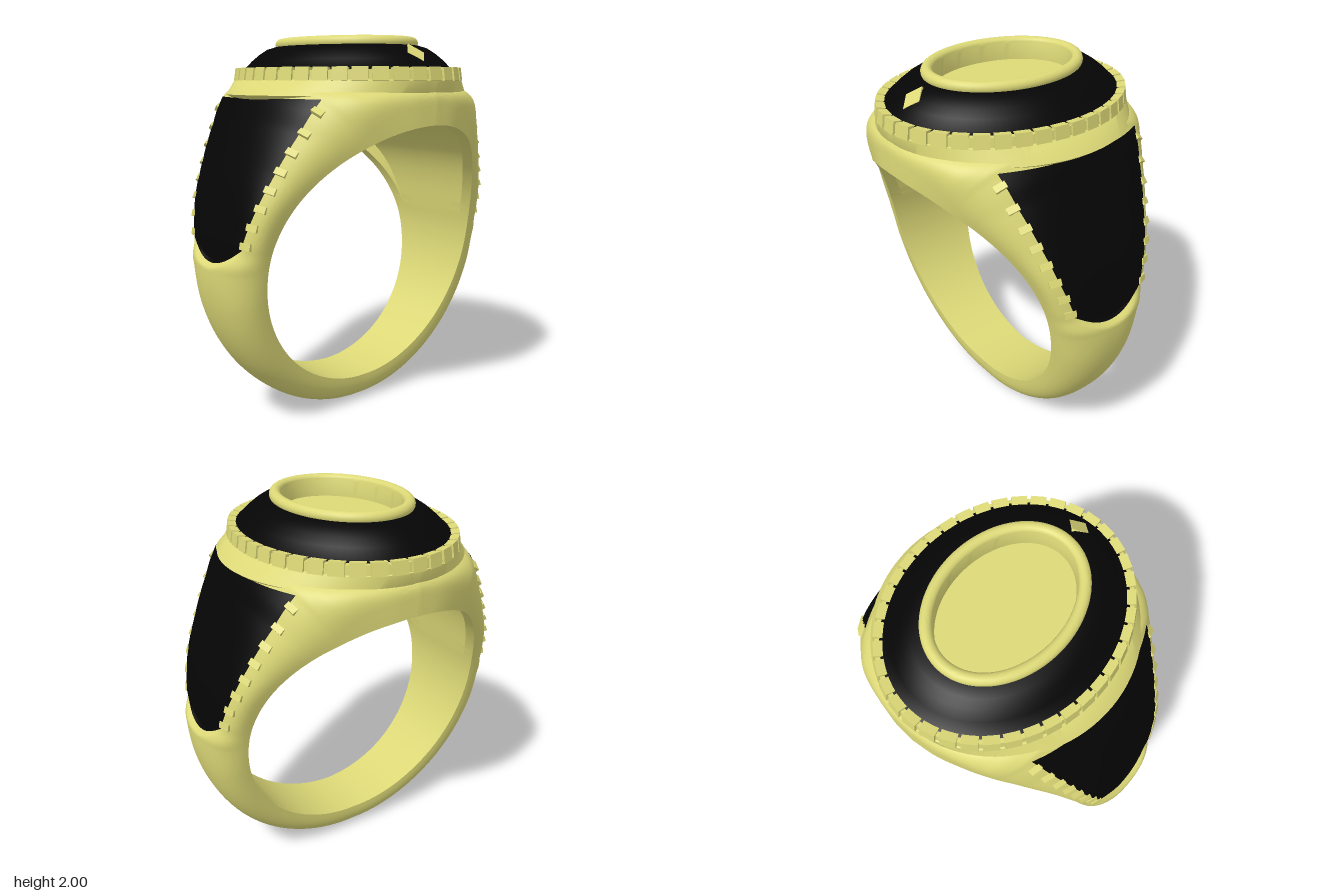
import * as THREE from 'three';
import { toCreasedNormals } from 'three/addons/utils/BufferGeometryUtils.js';

const CY = 0.86, RIN = 0.71, DEG = Math.PI / 180;
const { lerp, smoothstep, clamp } = THREE.MathUtils;

// Smooth curve through [x, value] pairs
function curve(t) {
  const slope = i => {
    const a = t[Math.max(i - 1, 0)], b = t[Math.min(i + 1, t.length - 1)];
    return (b[1] - a[1]) / (b[0] - a[0]);
  };
  return x => {
    let i = 0;
    while (i < t.length - 2 && x > t[i + 1][0]) i++;
    const d = t[i + 1][0] - t[i][0], k = (x - t[i][0]) / d, k2 = k * k, k3 = k2 * k;
    return (2 * k3 - 3 * k2 + 1) * t[i][1] + (k3 - 2 * k2 + k) * d * slope(i)
      + (3 * k2 - 2 * k3) * t[i + 1][1] + (k3 - k2) * d * slope(i + 1);
  };
}

// Ring section by elevation in degrees: outer radius, half width, squareness
const radiusCurve = curve([[-90, 0.86], [-45, 0.872], [-10, 0.884], [0, 0.888], [3, 0.886], [9, 0.85],
  [23, 0.86], [36, 0.9], [48, 0.968], [54, 1.016], [60, 1.045], [90, 1.1]]);
const halfWidth = curve([[-90, 0.165], [-60, 0.18], [-40, 0.2], [-20, 0.23], [0, 0.272], [10, 0.3], [20, 0.34],
  [30, 0.39], [40, 0.45], [50, 0.515], [60, 0.58], [70, 0.63], [80, 0.667], [90, 0.68]]);
const power = curve([[-90, 2.7], [-12, 2.4], [0, 2.3], [6, 2.8], [12, 3.6], [22, 3.8], [36, 2.8], [58, 2.6],
  [65, 4.2], [73, 6], [90, 8]]);
const panelHalf = curve([[0, 0.217], [9, 0.22], [24, 0.287], [38, 0.343], [60, 0.437]]);
const elevation = a => Math.asin(clamp(Math.sin(a), -1, 1)) / DEG;
const polar = (a, r, z) => [r * Math.cos(a), CY + r * Math.sin(a), z];

// Lower edge of the shoulder pocket, and outer radius with that pocket sunk in
const lipAngle = z => 2.7 + 6.5 * (z / 0.222) ** 2;
function outerRadius(e, z) {
  const r = e > 30 ? Math.min(radiusCurve(e), 0.9 / Math.sin(e * DEG)) : radiusCurve(e);
  if (e < 0 || e > 10) return r;
  const lip = lipAngle(z);
  return lerp(r, Math.min(r, 0.838 + 0.0008 * e), smoothstep(e, lip - 1, lip + 1.2));
}

// Radius of the outer surface at elevation e and depth z
function surfaceRadius(e, z) {
  const p = power(e), s = Math.min(Math.abs(z) / halfWidth(e), 1);
  return RIN + (outerRadius(e, z) - RIN) * Math.pow(1 - Math.pow(s, p), 1 / p);
}

// Surface from f(u, v), u and v in 0..1
function grid(nu, nv, f, crease = 0.6) {
  const pos = [], idx = [];
  for (let i = 0; i <= nu; i++) for (let j = 0; j <= nv; j++) pos.push(...f(i / nu, j / nv));
  for (let i = 0; i < nu; i++) for (let j = 0; j < nv; j++) {
    const a = i * (nv + 1) + j, b = a + nv + 1;
    idx.push(a, b, b + 1, a, b + 1, a + 1);
  }
  const g = new THREE.BufferGeometry();
  g.setAttribute('position', new THREE.Float32BufferAttribute(pos, 3));
  g.setIndex(idx);
  return toCreasedNormals(g, crease);
}

// Stack of ellipses [rx, rz, y]; y may be a function of x
function loft(levels) {
  return grid(96, levels.length - 1, (u, v) => {
    const [rx, rz, y] = levels[Math.round(v * (levels.length - 1))];
    const a = u * Math.PI * 2, x = rx * Math.cos(a);
    return [x, typeof y === 'function' ? y(x) : y, -rz * Math.sin(a)];
  });
}

export function createModel() {
  const group = new THREE.Group();
  const gold = new THREE.MeshStandardMaterial({ color: 0xdcd877, side: THREE.DoubleSide });
  gold.name = 'gold';
  const black = new THREE.MeshStandardMaterial({ color: 0x050505, side: THREE.DoubleSide });
  black.name = 'black';
  const add = (name, geo, mat, parent = group) => {
    const m = new THREE.Mesh(geo, mat);
    m.name = name;
    parent.add(m);
    return m;
  };

  // Band: domed outside, raised under the inlay to make room for the cavity
  add('band', grid(480, 48, (u, v) => {
    const a = u * Math.PI * 2, e = elevation(a), p = power(e), q = v * Math.PI;
    const c = -Math.cos(q), s = Math.max(Math.sin(q), 0);
    const z = Math.sign(c) * Math.pow(Math.abs(c), 2 / p) * halfWidth(e);
    const point = polar(a, RIN + (outerRadius(e, z) - RIN) * Math.pow(s, 2 / p), z);
    if (e > 0 && (point[0] / 0.4) ** 2 + (z / 0.5) ** 2 < 1) point[1] = 1.872;
    return point;
  }, 1), gold);

  // Band inside: hollowed shoulders and an oval opening under the head
  const HX = 0.42, HZ = 0.52, HOLLOW = 0.07, EDGE = 0.07;
  for (const side of [1, -1]) {
    add('bandInside', grid(360, 4, (u, v) => {
      const a = u * Math.PI * 2, e = elevation(a), w = halfWidth(e);
      const deep = RIN + HOLLOW * smoothstep(e, 10, 45), x = deep * Math.cos(a) / HX;
      const z0 = e > 0 && Math.abs(x) < 1 ? HZ * Math.sqrt(1 - x * x) : 0;
      const k = Math.round((side > 0 ? v : 1 - v) * 4);
      const z = [w, w - EDGE, w - EDGE, (w - EDGE + z0) / 2, z0][k];
      return polar(a, k < 2 ? RIN : deep, side * z);
    }), gold);
  }
  add('headCavity', loft([
    [0.01, 0.01, 1.865], [0.33, 0.42, 1.865], [0.33, 0.42, 1.7], [HX, HZ, 1.7],
    [HX, HZ, x => CY + Math.sqrt((RIN + HOLLOW) ** 2 - x * x)],
  ]), gold);

  // Oval head with flange and bezel seat
  add('head', loft([
    [0.57, 0.63, 1.688], [0.6, 0.645, 1.69], [0.628, 0.658, 1.71],
    [0.56, 0.666, 1.782], [0.55, 0.66, 1.785], [0.545, 0.655, 1.83], [0.49, 0.6, 1.83],
  ]), gold);

  // Bezel teeth
  const teeth = new THREE.Group();
  teeth.name = 'bezelTeeth';
  group.add(teeth);
  const toothGeo = new THREE.BoxGeometry(0.076, 0.066, 0.066);
  const oval = new THREE.EllipseCurve(0, 0, 0.522, 0.634);
  oval.getSpacedPoints(40).slice(0, 40).forEach(p => {
    const t = add('bezelTooth', toothGeo, gold, teeth);
    t.position.set(p.x, 1.808, p.y);
    t.rotation.set(-0.15, Math.atan2(p.x / 0.522 ** 2, p.y / 0.634 ** 2), 0, 'YXZ');
  });

  // Black domed top
  add('topInlay', loft([
    [0.525, 0.632, 1.833], [0.5, 0.612, 1.842], [0.46, 0.572, 1.883], [0.42, 0.528, 1.917],
    [0.38, 0.485, 1.943], [0.34, 0.44, 1.956], [0.3, 0.4, 1.96],
  ]), black);

  // Rounded oval rim around a recess
  const rim = [];
  for (let i = 0; i <= 12; i++) {
    const a = lerp(-50, 180, i / 12) * DEG, d = 0.03 * Math.cos(a);
    rim.push([0.305 + d, 0.405 + d, 1.97 + 0.03 * Math.sin(a)]);
  }
  add('topRim', loft([...rim, [0.275, 0.375, 1.88]]), gold);
  add('recessFloor', loft([[0.28, 0.38, 1.885], [0, 0, 1.885]]), gold);

  // Diamond stud on the front of the inlay
  const stud = add('frontDiamond', new THREE.CylinderGeometry(0.055, 0.055, 0.02, 4).toNonIndexed(), gold);
  stud.position.set(0, 1.908, 0.525);
  stud.rotation.x = 0.66;
  stud.scale.z = 1.25;

  // Angle at which the surface at depth z reaches the panel's top edge
  const topAngle = z => {
    let lo = 40, hi = 75;
    for (let i = 0; i < 20; i++) {
      const e = (lo + hi) / 2;
      if (CY + surfaceRadius(e, z) * Math.sin(e * DEG) < 1.69) lo = e; else hi = e;
    }
    return lo;
  };

  // Shoulders: sunken black panel edged with low teeth, one on each side
  const panelGeo = grid(64, 32, (u, v) => {
    const k = v * 2 - 1;
    const e = lerp(lipAngle(k * 0.218) + 0.4, topAngle(k * 0.433), u), z = k * panelHalf(e);
    return polar(e * DEG, surfaceRadius(e, z) + 0.005, z);
  });
  const edgeGeo = new THREE.BoxGeometry(0.034, 0.034, 0.06);
  for (const turn of [0, Math.PI]) {
    const shoulder = new THREE.Group();
    shoulder.name = turn ? 'rightShoulder' : 'leftShoulder';
    shoulder.rotation.y = turn;
    group.add(shoulder);
    add('sidePanel', panelGeo, black, shoulder);
    for (let i = 0; i < 8; i++) for (const s of [1, -1]) {
      const e = 11 + i * 6.4, z = panelHalf(e) + 0.012;
      const tilt = Math.atan2(surfaceRadius(e, z - 0.02) - surfaceRadius(e, z + 0.02), 0.04);
      const t = add('panelTooth', edgeGeo, gold, shoulder);
      t.position.set(...polar(e * DEG, surfaceRadius(e, z) - 0.008, s * z));
      t.rotation.set(0, -s * tilt, e * DEG, 'ZYX');
    }
  }
  return group;
}
